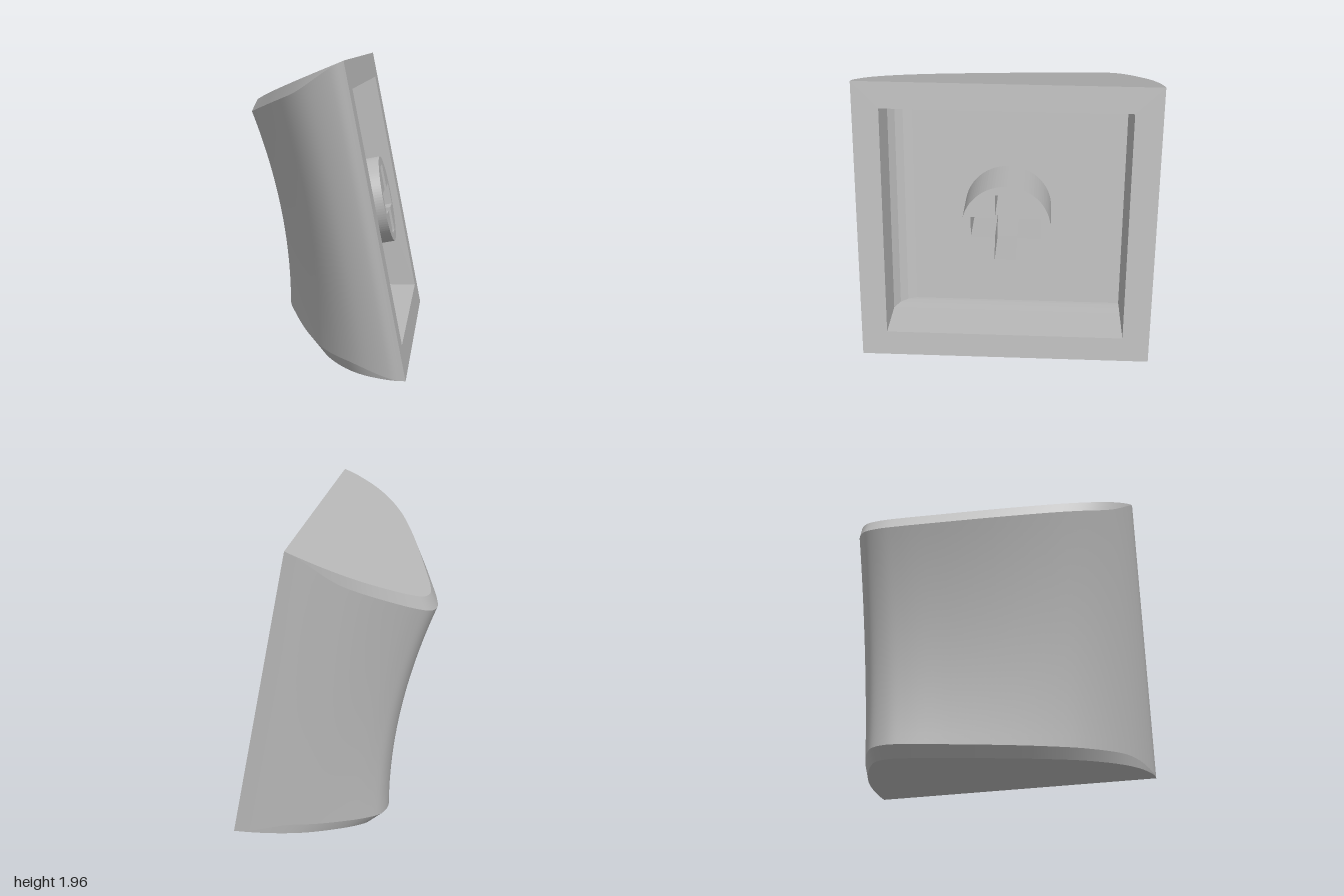
import * as THREE from 'three';

const lerp = THREE.MathUtils.lerp;

// Skin a grid of point rows; every row has the same number of points
function loft(rows, flat = false) {
  const n = rows[0].length, index = [];
  for (let i = 0; i < rows.length - 1; i++) {
    for (let j = 0; j < n - 1; j++) {
      const a = i * n + j, b = a + n;
      index.push(a, a + 1, b + 1, a, b + 1, b);
    }
  }
  let g = new THREE.BufferGeometry();
  g.setAttribute('position', new THREE.Float32BufferAttribute(rows.flat(2), 3));
  g.setIndex(index);
  if (flat) g = g.toNonIndexed();
  g.computeVertexNormals();
  return g;
}

export function createModel() {
  const model = new THREE.Group();
  const grey = new THREE.MeshStandardMaterial({ color: 0xb8b8b8 });
  grey.name = 'light grey plastic';
  const add = (parent, name, geometry) => {
    const mesh = new THREE.Mesh(geometry, grey);
    mesh.name = name;
    parent.add(mesh);
    return mesh;
  };

  // Side profile of the cap: depth fraction against z
  const profile = new THREE.CatmullRomCurve3([
    [0, -1], [0.085, -1], [0.29, -0.985], [0.51, -0.945], [0.73, -0.87], [0.88, -0.8],
    [0.965, -0.735], [1, -0.635], [0.98, -0.5], [0.905, -0.25], [0.825, 0], [0.755, 0.2],
    [0.675, 0.4], [0.58, 0.6], [0.435, 0.8], [0.29, 0.92], [0.1, 0.995], [0, 1],
  ].map(([d, z]) => new THREE.Vector3(d, 0, z)), false, 'centripetal').getPoints(100);

  // One row of the skin: from the rim point to the crest point, shifted by the edge chamfer
  const row = (bx, by, tx, ty, shift) => profile.map((p) => {
    const d = Math.max(0, p.x), z = THREE.MathUtils.clamp(p.z, -1, 1);
    const fade = THREE.MathUtils.smoothstep(d, 0, 0.42);
    return [lerp(bx, tx, d), lerp(by, ty, d) + shift * fade, z];
  });

  // Dished outer face, curving between the two end faces
  const face = [];
  for (let i = 0; i <= 24; i++) {
    const t = i / 24;
    face.push(row(lerp(0.63, 0.24, t), 1.96 * t, -0.345 - 0.29 * t * t, 1.6 * t, 0.07 * (1 - 2 * t)));
  }
  const lowEdge = row(0.63, 0, -0.26, 0, 0), lowBase = row(0.63, 0, 0.63, 0, 0);
  const topEdge = row(0.24, 1.96, -0.59, 1.62, 0), topBase = row(0.24, 1.96, 0.24, 1.96, 0);
  add(model, 'dishedFace', loft(face));
  add(model, 'lowerChamfer', loft([lowEdge, face[0]]));
  add(model, 'upperChamfer', loft([face[24], topEdge]));
  add(model, 'lowerEnd', loft([lowBase, lowEdge]));
  add(model, 'upperEnd', loft([topEdge, topBase]));

  // Underside frame: local z points out of the open side, local x is world -z
  const underside = new THREE.Group();
  underside.name = 'underside';
  underside.position.set(0.435, 0.98, 0);
  underside.rotation.set(0, Math.PI / 2, Math.atan2(0.39, 1.96), 'ZYX');
  model.add(underside);

  const rectangle = (x0, x1, y) => [[x0, -y], [x1, -y], [x1, y], [x0, y]];
  const asPoints = (list) => list.map(([x, y]) => new THREE.Vector2(x, y));

  // Flat rim around the opening
  const rim = new THREE.Shape(asPoints(rectangle(-1, 1, 1)));
  rim.holes.push(new THREE.Path(asPoints(rectangle(-0.825, 0.815, 0.82))));
  add(underside, 'rim', new THREE.ShapeGeometry(rim));

  // Tapered cavity walls, with one sloping side, and the floor
  const depth = 0.375;
  const loops = [
    [-0.825, 0.815, 0.82, 0], [-0.81, 0.805, 0.77, -0.26], [-0.77, 0.803, 0.757, -0.32],
    [-0.72, 0.801, 0.75, -0.355], [-0.66, 0.8, 0.747, -depth],
  ].map(([x0, x1, y, z]) => {
    const loop = rectangle(x0, x1, y).map(([px, py]) => [px, py, z]);
    return [...loop, loop[0]];
  }).reverse();
  // rows run from floor to rim, so each loop is walked backwards to face inward
  add(underside, 'cavityWalls', loft(loops.map((l) => [...l].reverse()), true));
  const floor = add(underside, 'cavityFloor',
    new THREE.ShapeGeometry(new THREE.Shape(asPoints(rectangle(-0.66, 0.8, 0.747)))));
  floor.position.z = -depth;

  // Round stem with a cross-shaped socket
  const stem = new THREE.Shape();
  stem.absarc(0, 0, 0.298, 0, Math.PI * 2, false);
  const a = 0.235, w = 0.074;
  stem.holes.push(new THREE.Path(asPoints([
    [a, -w], [w, -w], [w, -a], [-w, -a], [-w, -w], [-a, -w],
    [-a, w], [-w, w], [-w, a], [w, a], [w, w], [a, w],
  ])));
  const post = add(underside, 'stem',
    new THREE.ExtrudeGeometry(stem, { depth, bevelEnabled: false, curveSegments: 48 }));
  post.position.z = -depth;

  return model;
}
